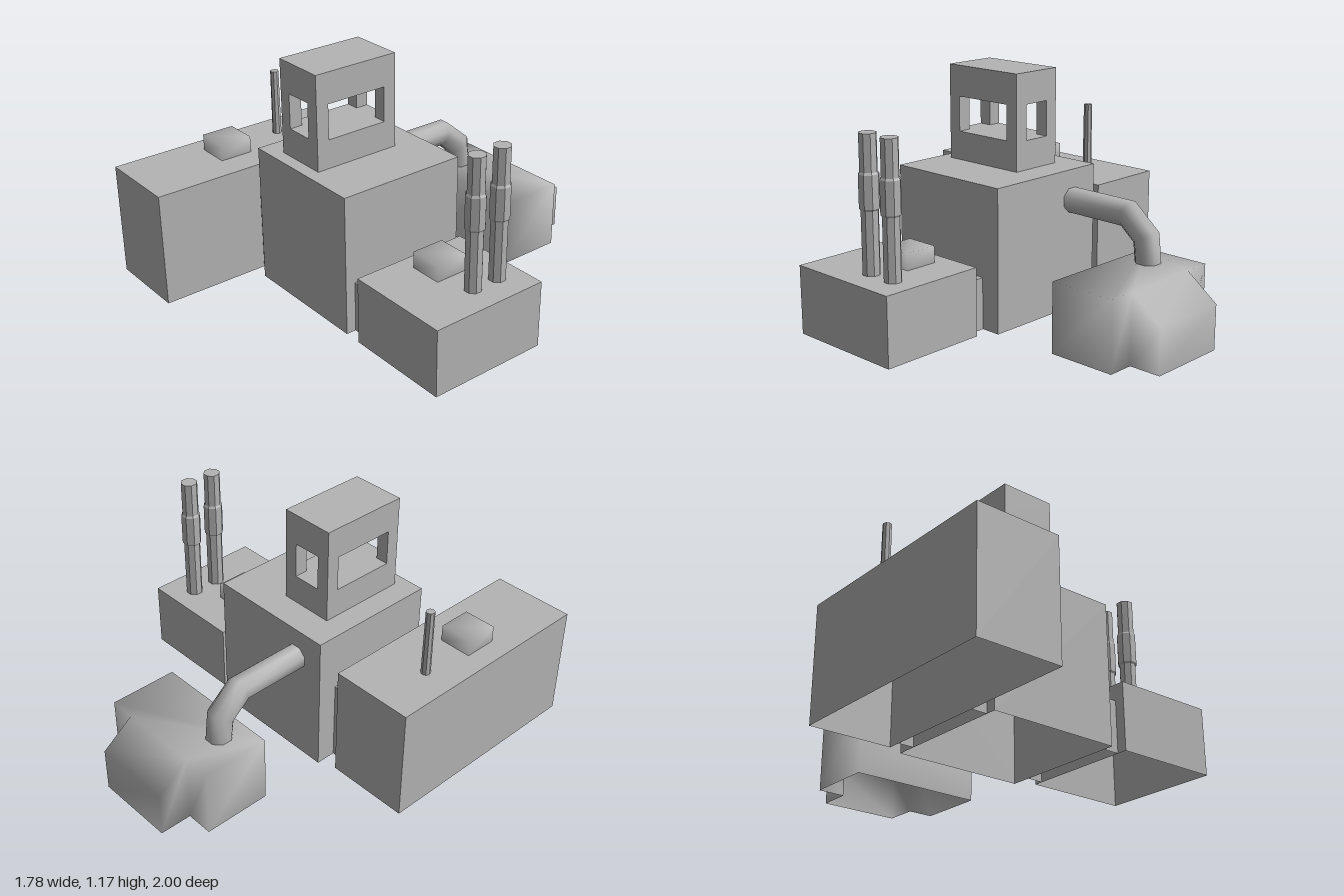
import * as THREE from 'three';
import { mergeVertices } from 'three/addons/utils/BufferGeometryUtils.js';

const grey = new THREE.MeshStandardMaterial({ color: 0xb4b4b4, side: THREE.DoubleSide });
grey.name = 'plain grey';

function add(parent, name, geometry) {
  const mesh = new THREE.Mesh(geometry, grey);
  mesh.name = name;
  parent.add(mesh);
  return mesh;
}

// Box given by its limits; hollow boxes have no bottom face
function box([x0, x1], [y0, y1], [z0, z1], hollow = true) {
  const g = new THREE.BoxGeometry(x1 - x0, y1 - y0, z1 - z0);
  g.translate((x0 + x1) / 2, (y0 + y1) / 2, (z0 + z1) / 2);
  if (hollow) {
    const index = Array.from(g.index.array);
    index.splice(18, 6);
    g.setIndex(index);
    g.clearGroups();
  }
  return g;
}

// Share corners so that the shading runs smoothly over the edges
function smooth(g) {
  g.deleteAttribute('normal');
  g.deleteAttribute('uv');
  const merged = mergeVertices(g);
  merged.computeVertexNormals();
  return merged;
}

function faceted(g) {
  const flat = g.toNonIndexed();
  flat.computeVertexNormals();
  return flat;
}

// Rear tank: stepped plan, wall up to the roof, sloping rear section
function tankGeometry() {
  const z0 = -0.5, z1 = -0.84, z2 = -1;
  const plan = [
    [-0.4, z0], [0.27, z0], [0.27, z1], [0.14, z1],
    [0.14, z2], [-0.265, z2], [-0.265, z1], [-0.4, z1],
  ];
  const n = plan.length, pos = [], index = [];
  for (const [x, z] of plan) pos.push(x, 0, z);
  for (const [x, z] of plan) pos.push(x, z === z2 ? 0.22 : 0.34, z);
  for (let i = 0; i < n; i++) {
    const j = (i + 1) % n;
    index.push(i, j, j + n, i, j + n, i + n);
  }
  const roof = [[0, 1, 2], [0, 2, 3], [0, 3, 6], [0, 6, 7], [6, 3, 4], [6, 4, 5]];
  for (const tri of roof) index.push(...tri.map((k) => k + n));
  const g = new THREE.BufferGeometry();
  g.setAttribute('position', new THREE.Float32BufferAttribute(pos, 3));
  g.setIndex(index);
  g.computeVertexNormals();
  return g;
}

// Mitred pipe in the plane x = const; path points are [z, y]
function pipeGeometry(x, path, r, sides) {
  const pos = [], index = [];
  const angle = path.slice(1).map(([z, y], i) => Math.atan2(y - path[i][1], z - path[i][0]));
  path.forEach(([z, y], i) => {
    const a = angle[Math.max(i - 1, 0)];
    let turn = angle[Math.min(i, angle.length - 1)] - a;
    turn = Math.atan2(Math.sin(turn), Math.cos(turn));
    const mid = a + turn / 2, stretch = r / Math.cos(turn / 2);
    for (let k = 0; k < sides; k++) {
      const t = ((k + 0.5) / sides) * Math.PI * 2;
      const s = Math.sin(t) * stretch * 1.05;
      pos.push(x + Math.cos(t) * r * 1.05, y + Math.cos(mid) * s, z - Math.sin(mid) * s);
    }
  });
  for (let i = 0; i < path.length - 1; i++) {
    for (let k = 0; k < sides; k++) {
      const a = i * sides + k, b = i * sides + ((k + 1) % sides);
      index.push(a, a + sides, b, b, a + sides, b + sides);
    }
  }
  const g = new THREE.BufferGeometry();
  g.setAttribute('position', new THREE.Float32BufferAttribute(pos, 3));
  g.setIndex(index);
  g.computeVertexNormals();
  return g;
}

export function createModel() {
  const model = new THREE.Group();
  model.name = 'factory';

  // Buildings and the links between them
  add(model, 'mainHall', box([-0.4, 0.27], [0, 0.7], [-0.165, 0.5]));
  add(model, 'rightHall', box([-0.895, -0.48], [0, 0.57], [-0.13, 1]));
  add(model, 'leftHall', box([0.355, 0.89], [0, 0.335], [-0.11, 0.5]));
  add(model, 'rightLink', box([-0.48, -0.4], [0, 0.41], [-0.065, 0.45]));
  add(model, 'leftLink', box([0.27, 0.355], [0, 0.255], [-0.065, 0.45]));

  // Tower with openings through both directions
  const tower = new THREE.Group();
  tower.name = 'tower';
  model.add(tower);
  const xs = [-0.285, -0.22, -0.078, -0.01], zs = [-0.015, 0.05, 0.37, 0.435];
  add(tower, 'towerBase', box([xs[0], xs[3]], [0.7, 0.843], [zs[0], zs[3]]));
  add(tower, 'towerRoof', box([xs[0], xs[3]], [1.017, 1.17], [zs[0], zs[3]], false));
  for (const i of [0, 2]) {
    for (const k of [0, 2]) {
      add(tower, 'towerPillar', box([xs[i], xs[i + 1]], [0.843, 1.017], [zs[k], zs[k + 1]]));
    }
  }

  // Roof vents
  add(model, 'rightVent', smooth(box([-0.79, -0.625], [0.57, 0.652], [0.4, 0.567])));
  add(model, 'leftVent', smooth(box([0.438, 0.603], [0.335, 0.417], [0.08, 0.247])));

  // Thin stack on the right hall
  const stack = faceted(new THREE.CylinderGeometry(0.021, 0.023, 0.335, 8));
  add(model, 'thinStack', stack).position.set(-0.74, 0.7375, 0.165);

  // Pair of collared chimneys on the left hall
  const profile = [
    [0.042, 0.335], [0.042, 0.635], [0.049, 0.645], [0.049, 0.8],
    [0.042, 0.81], [0.042, 0.985], [0, 0.985],
  ].map(([r, y]) => new THREE.Vector2(r, y));
  const chimney = faceted(new THREE.LatheGeometry(profile, 8, Math.PI / 8));
  for (const z of [0.02, 0.165]) add(model, 'chimney', chimney).position.set(0.742, 0, z);

  // Rear tank and the pipe that feeds it
  add(model, 'rearTank', tankGeometry());
  const path = [[-0.165, 0.55], [-0.51, 0.548], [-0.62, 0.455], [-0.637, 0.3]];
  add(model, 'feedPipe', pipeGeometry(-0.24, path, 0.06, 8));

  return model;
}
